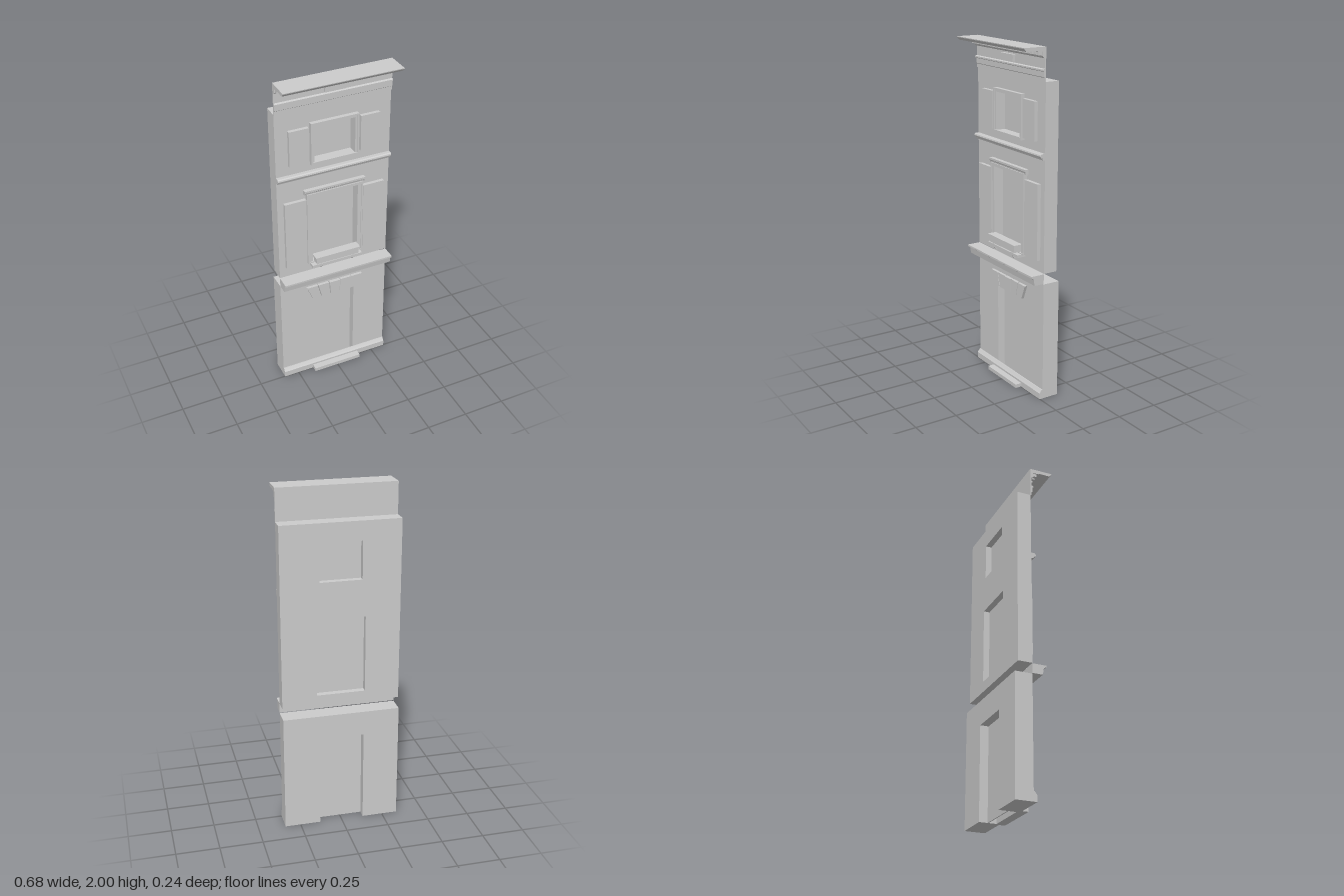
import * as THREE from 'three';

const W = 0.682;      // facade width
const FACE = -0.018;  // front plane of the walls
const material = new THREE.MeshStandardMaterial({ color: 0xcccccc, flatShading: true });

export function createModel() {
  const model = new THREE.Group();

  const add = (name, geometry) => {
    const mesh = new THREE.Mesh(geometry, material);
    mesh.name = name;
    model.add(mesh);
    return mesh;
  };

  // Box given by its limits on each axis
  const box = (name, x0, x1, y0, y1, z0, z1) =>
    add(name, new THREE.BoxGeometry(x1 - x0, y1 - y0, z1 - z0)
      .translate((x0 + x1) / 2, (y0 + y1) / 2, (z0 + z1) / 2));

  const toShape = (points) => new THREE.Shape(points.map(([x, y]) => new THREE.Vector2(x, y)));
  const rect = (w, y0, y1) => [[-w, y0], [w, y0], [w, y1], [-w, y1]];

  // Flat outline with optional holes, extruded from z0 to z1
  const slab = (name, points, holes, z0, z1) => {
    const shape = toShape(points);
    holes.forEach((h) => shape.holes.push(toShape(h)));
    return add(name, new THREE.ExtrudeGeometry(shape, { depth: z1 - z0, bevelEnabled: false })
      .translate(0, 0, z0));
  };

  // Moulding: a (z, y) profile run along x
  const moulding = (name, points, width = W) =>
    add(name, new THREE.ExtrudeGeometry(toShape(points), { depth: width, bevelEnabled: false })
      .translate(0, 0, -width / 2).rotateY(-Math.PI / 2));

  // Ground floor wall with door notch
  const h = W / 2, d = 0.131;
  slab('groundFloorWall',
    [[-h, 0], [-d, 0], [-d, 0.55], [d, 0.55], [d, 0], [h, 0], [h, 0.695], [-h, 0.695]],
    [], -0.12, FACE);
  box('doorPanel', -d, d, 0, 0.55, -0.07, -0.064);
  moulding('plinth', [[FACE, 0], [0.002, 0], [0.002, 0.035], [-0.004, 0.043], [-0.012, 0.055], [FACE, 0.055]]);
  box('doorStep', -0.152, 0.152, 0.002, 0.024, -0.002, 0.041);

  // Fanned lintel stones over the door
  const stones = 5;
  for (let i = 0; i < stones; i++) {
    const at = (k, half) => (k / stones * 2 - 1) * half;
    const gap = 0.002;
    const proud = i === 2 ? 0.003 : 0;
    slab('lintelStone', [
      [at(i, 0.146) + gap, 0.55], [at(i + 1, 0.146) - gap, 0.55],
      [at(i + 1, 0.18) - gap, 0.635], [at(i, 0.18) + gap, 0.635],
    ], [], FACE, -0.001 + proud);
  }

  // Belt cornice between the ground floor and upper floors
  moulding('beltCornice', [[FACE, 0.699], [0.043, 0.699], [0.049, 0.735], [0.056, 0.742],
    [0.064, 0.745], [0.064, 0.755], [FACE, 0.755]]);

  // Upper wall with two window openings
  slab('upperWall', rect(h, 0.757, 1.817),
    [rect(0.141, 0.82, 1.272), rect(0.121, 1.487, 1.706)], -0.102, FACE);
  box('middleWindowPane', -0.141, 0.141, 0.82, 1.272, -0.066, -0.06);
  box('upperWindowPane', -0.121, 0.121, 1.487, 1.706, -0.066, -0.06);

  // Middle window surround: stepped frame, lintel cap and sill
  slab('middleWindowFrame', rect(0.172, 0.82, 1.292), [rect(0.141, 0.828, 1.272)], FACE, 0.001);
  slab('middleWindowFrameEdge', rect(0.172, 0.82, 1.292), [rect(0.162, 0.828, 1.282)], 0.001, 0.006);
  moulding('middleWindowCap', [[FACE, 1.29], [0, 1.29], [0.002, 1.3], [0.007, 1.305],
    [0.007, 1.317], [FACE, 1.317]], 0.37);
  box('middleWindowSill', -0.157, 0.157, 0.806, 0.822, FACE, 0.036);

  // Window box with lip, carried on small brackets
  box('windowBox', -0.132, 0.132, 0.83, 0.866, -0.004, 0.041);
  box('windowBoxLip', -0.14, 0.14, 0.862, 0.875, -0.008, 0.046);
  for (const s of [-1, 1]) {
    moulding('sillBracket', [[FACE, 0.787], [0.02, 0.787], [0.034, 0.806], [0.034, 0.83], [FACE, 0.83]], 0.007)
      .position.x = s * 0.098;
  }

  // Upper window surround
  slab('upperWindowFrame', rect(0.142, 1.483, 1.728), [rect(0.121, 1.489, 1.706)], FACE, 0);
  slab('upperWindowFrameEdge', rect(0.142, 1.483, 1.728), [rect(0.133, 1.489, 1.719)], 0, 0.006);
  box('upperWindowSill', -0.142, 0.142, 1.474, 1.487, FACE, 0.006);

  // Shutters on both sides of each window
  for (const s of [-1, 1]) {
    const shutter = (name, a, b, y0, y1) =>
      box(name, Math.min(s * a, s * b), Math.max(s * a, s * b), y0, y1, FACE, 0.003);
    shutter('middleShutter', 0.175, 0.304, 0.825, 1.26);
    shutter('upperShutter', 0.154, 0.268, 1.49, 1.706);
  }

  // String course between the upper floors
  moulding('stringCourse', [[FACE, 1.4], [-0.004, 1.4], [0, 1.41], [0.008, 1.414], [0.011, 1.421],
    [0.009, 1.429], [0.003, 1.434], [FACE, 1.434]]);

  // Crowning cornice and the thin frieze board below it
  moulding('frieze', [[FACE, 1.817], [-0.011, 1.817], [-0.011, 1.838], [-0.006, 1.842], [-0.006, 1.87],
    [0.001, 1.874], [0.001, 1.882], [-0.011, 1.886], [-0.011, 1.94], [0, 1.945], [0.004, 1.953],
    [0.004, 1.976], [FACE, 1.976]]);
  moulding('cornice', [[FACE, 1.975], [0.034, 1.975], [0.036, 1.98], [0.106, 1.98], [0.112, 1.988],
    [0.119, 1.995], [0.12, 2], [FACE, 2]]);

  // Dentil row under the cornice
  const dentils = 23;
  for (let i = 0; i < dentils; i++) {
    const x = ((i + 0.5) / dentils - 0.5) * W;
    box('dentil', x - 0.009, x + 0.009, 1.957, 1.977, 0, 0.026);
  }

  // Central frieze block
  box('friezeBlock', -0.058, 0.058, 1.893, 1.926, FACE, 0.004);
  box('friezeBlockCap', -0.063, 0.063, 1.922, 1.932, FACE, 0.009);

  return model;
}
